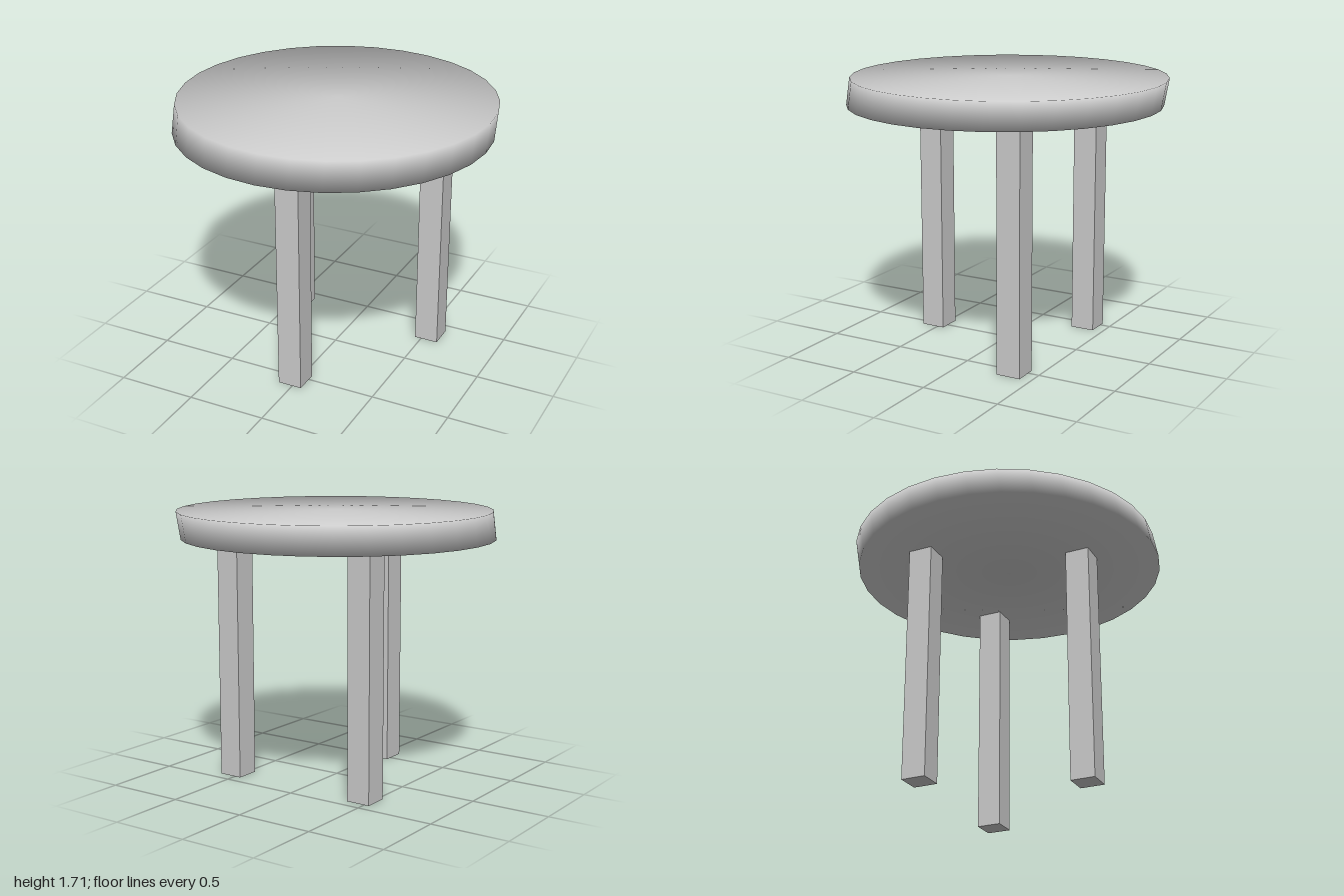
import * as THREE from 'three';

const SEAT_BOTTOM = 1.537;
const SEAT_TOP = 1.711;
const SEAT_RADIUS = 0.983;
const LEG_WIDTH = 0.155;

// Round slab, leaning slightly backwards, shaded smoothly over its rim
function seatGeometry() {
  const height = SEAT_TOP - SEAT_BOTTOM;
  const geometry = new THREE.CylinderGeometry(SEAT_RADIUS, SEAT_RADIUS, height, 32);
  const { position, normal } = geometry.attributes;
  for (let i = 0; i < position.count; i++) {
    const x = position.getX(i);
    const z = position.getZ(i);
    const side = Math.sign(position.getY(i));
    // Rim normals point half outwards, half up or down, and fade to vertical at the middle
    normal.setXYZ(i, x / SEAT_RADIUS * Math.SQRT1_2, side * Math.SQRT1_2, z / SEAT_RADIUS * Math.SQRT1_2);
    // Shear the top against the bottom
    position.setX(i, x + side * 0.003);
    position.setZ(i, z - side * 0.017);
  }
  return geometry.translate(0, SEAT_BOTTOM + height / 2, 0);
}

export function createModel() {
  const model = new THREE.Group();
  model.name = 'stool';
  const material = new THREE.MeshStandardMaterial({ color: 0xcccccc });

  const seat = new THREE.Mesh(seatGeometry(), material);
  seat.name = 'seat';
  model.add(seat);

  // Three square legs
  const legGeometry = new THREE.BoxGeometry(LEG_WIDTH, SEAT_BOTTOM, LEG_WIDTH);
  const legs = [
    ['frontLeg', -0.018, 0.533],
    ['backLeftLeg', 0.535, -0.35],
    ['backRightLeg', -0.455, -0.357],
  ];
  for (const [name, x, z] of legs) {
    const leg = new THREE.Mesh(legGeometry, material);
    leg.name = name;
    leg.position.set(x, SEAT_BOTTOM / 2, z);
    model.add(leg);
  }
  return model;
}
